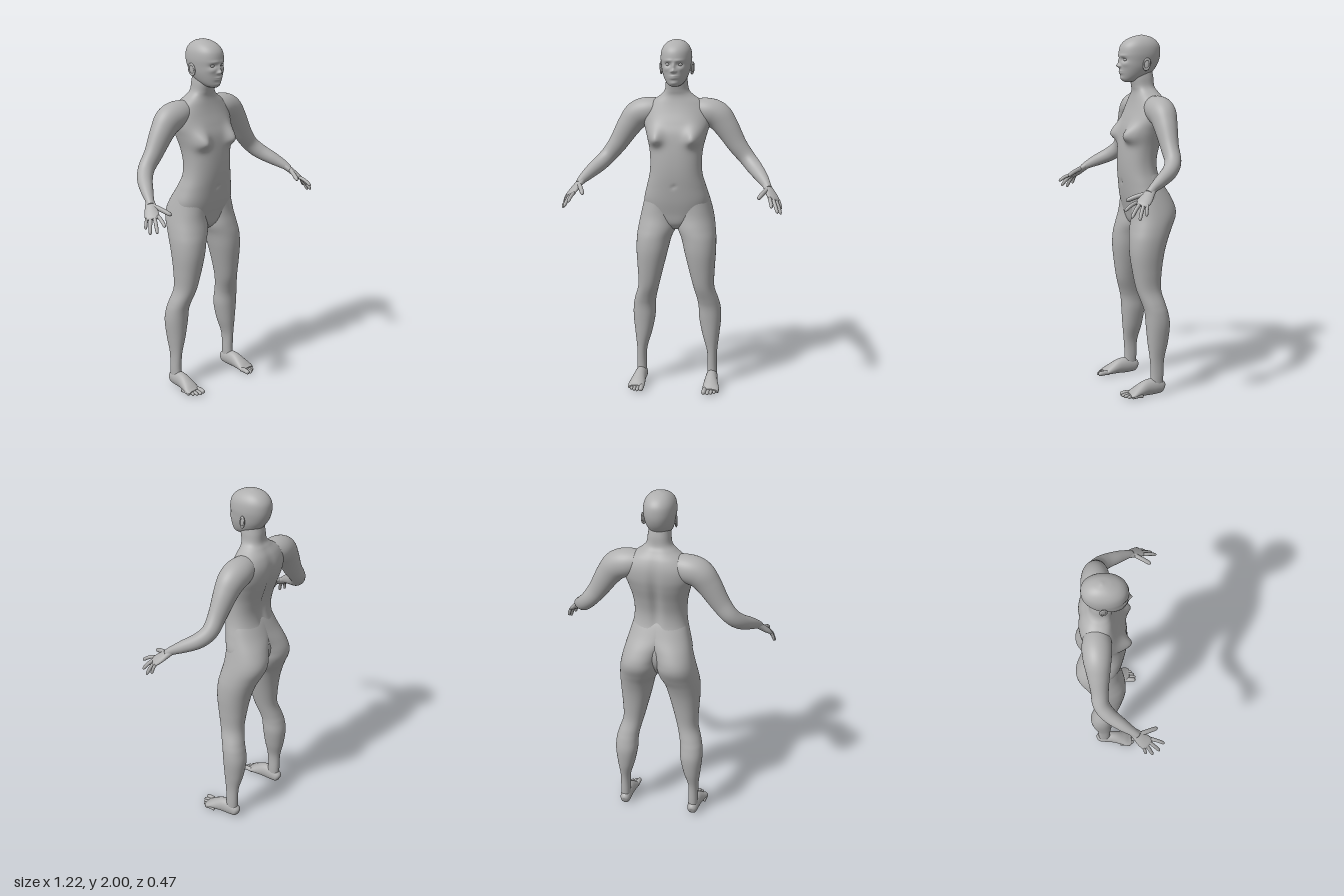
import * as THREE from 'three';

const skin = new THREE.MeshStandardMaterial({ color: 0xb0b0b0 });
skin.name = 'plain grey';

// Smooth interpolation through rows of numbers
function smoothRows(rows, steps) {
  const out = [], last = rows.length - 1;
  for (let i = 0; i < last; i++) {
    const a = rows[Math.max(i - 1, 0)], b = rows[i], c = rows[i + 1], d = rows[Math.min(i + 2, last)];
    for (let s = 0; s < steps; s++) {
      const t = s / steps;
      out.push(b.map((v, k) => v + 0.5 * t * (c[k] - a[k] +
        t * (2 * a[k] - 5 * v + 4 * c[k] - d[k] + t * (3 * (v - c[k]) + d[k] - a[k])))));
    }
  }
  out.push(rows[last]);
  return out;
}

// Closed skin over a list of rings, with both ends capped
function skinRings(rings) {
  const n = rings[0].length;
  const collapse = (ring) => {
    const c = ring.reduce((s, p) => s.add(p), new THREE.Vector3()).divideScalar(n);
    return ring.map(() => c);
  };
  const all = [collapse(rings[0]), ...rings, collapse(rings[rings.length - 1])];
  const pos = [], index = [];
  all.forEach((ring, i) => ring.forEach((p, j) => {
    pos.push(p.x, p.y, p.z);
    if (i === all.length - 1) return;
    const a = i * n + j, b = i * n + (j + 1) % n;
    index.push(a, a + n, b, b, a + n, b + n);
  }));
  const g = new THREE.BufferGeometry();
  g.setAttribute('position', new THREE.Float32BufferAttribute(pos, 3));
  g.setIndex(index);
  g.computeVertexNormals();
  return g;
}

// Level sections: rows of [y, xMin, xMax, zBack, zFront]; shape moves single points
function levelLoft(rows, { power = 2, segs = 48, steps = 6, shape = () => {} } = {}) {
  const bend = (v) => Math.sign(v) * Math.abs(v) ** (2 / power);
  return skinRings(smoothRows(rows, steps).map(([y, x0, x1, z0, z1]) =>
    Array.from({ length: segs }, (_, j) => {
      const a = j / segs * Math.PI * 2;
      const p = new THREE.Vector3((x0 + x1) / 2 + (x1 - x0) / 2 * bend(Math.cos(a)), y,
        (z0 + z1) / 2 + (z1 - z0) / 2 * bend(Math.sin(a)));
      shape(p, Math.sin(a));
      return p;
    })));
}

// Sections along a path: rows of [x, y, z, radius along wide, other radius]
function sweep(rows, wide, segs = 28, steps = 6) {
  const r = smoothRows(rows, steps), at = (i) => new THREE.Vector3(...r[i].slice(0, 3));
  return skinRings(r.map((row, i) => {
    const t = at(Math.min(i + 1, r.length - 1)).sub(at(Math.max(i - 1, 0))).normalize();
    const u = wide.clone().addScaledVector(t, -wide.dot(t)).normalize();
    const v = u.clone().cross(t);
    return Array.from({ length: segs }, (_, j) => {
      const a = j / segs * Math.PI * 2;
      return at(i).addScaledVector(u, row[3] * Math.cos(a)).addScaledVector(v, row[4] * Math.sin(a));
    });
  }));
}

// Finger or toe: a slightly arched, round-ended tube
function digit(a, b, r, arch, wide) {
  const rows = [[0, 1], [0.3, 1], [0.6, 0.98], [0.85, 0.92], [0.95, 0.7], [1, 0.25]].map(([t, k]) => {
    const p = a.map((v, i) => v + (b[i] - v) * t);
    p[1] += arch * Math.sin(t * Math.PI);
    return [...p, r * k, r * k];
  });
  return sweep(rows, wide, 12, 3);
}

function mirrored(g) {
  const m = g.clone().scale(-1, 1, 1), idx = m.index.array;
  for (let i = 0; i < idx.length; i += 3) [idx[i], idx[i + 1]] = [idx[i + 1], idx[i]];
  m.computeVertexNormals();
  return m;
}

const bump = (x, y, cx, cy, sx, sy) => Math.exp(-(((x - cx) / sx) ** 2) - ((y - cy) / sy) ** 2);
const even = (rows) => rows.map(([y, w, b, f]) => [y, -w, w, b, f]);

export function createModel() {
  const model = new THREE.Group();
  model.name = 'standingFigure';
  const add = (name, g) => {
    const m = new THREE.Mesh(g, skin);
    m.name = name;
    model.add(m);
  };
  const addPair = (name, g) => {
    add('left' + name, g);
    add('right' + name, mirrored(g));
  };

  // Torso and neck, with chest forms and the groove of the spine
  add('torso', levelLoft(even([
    [0.935, 0.03, -0.11, -0.03], [0.97, 0.09, -0.15, 0], [1.03, 0.165, -0.185, 0.014], [1.1, 0.185, -0.195, 0.03],
    [1.18, 0.168, -0.175, 0.042], [1.25, 0.15, -0.152, 0.05], [1.32, 0.145, -0.148, 0.052],
    [1.4, 0.152, -0.165, 0.048], [1.48, 0.172, -0.19, 0.038], [1.54, 0.188, -0.203, 0.018],
    [1.6, 0.185, -0.203, -0.005], [1.65, 0.15, -0.188, -0.02], [1.69, 0.095, -0.162, -0.027],
    [1.72, 0.068, -0.145, -0.022], [1.77, 0.06, -0.14, -0.012], [1.82, 0.052, -0.13, -0.02],
  ]), {
    power: 2.3, segs: 96, steps: 8, shape: (p, s) => {
      const x = Math.abs(p.x);
      if (s > 0) {
        p.z += 0.048 * bump(x, p.y, 0.108, 1.452, 0.042, p.y < 1.452 ? 0.036 : 0.06) * Math.min(1, s * 2);
        p.z -= 0.006 * bump(x, p.y, 0, 1.19, 0.012, 0.012);
      } else {
        p.z += 0.016 * bump(x, p.y, 0, 1.4, 0.028, 0.2) * -s;
      }
    },
  }));

  // Legs rise through the hips and meet at the middle
  addPair('Leg', levelLoft([
    [0.04, 0.18, 0.235, -0.125, -0.045], [0.1, 0.18, 0.236, -0.127, -0.055], [0.2, 0.178, 0.236, -0.132, -0.05],
    [0.3, 0.15, 0.247, -0.156, -0.04], [0.4, 0.13, 0.257, -0.168, -0.033], [0.47, 0.127, 0.254, -0.158, -0.027],
    [0.52, 0.12, 0.243, -0.145, -0.014], [0.6, 0.1, 0.22, -0.128, 0.012], [0.7, 0.075, 0.222, -0.135, 0.03],
    [0.8, 0.05, 0.228, -0.152, 0.042], [0.88, 0.03, 0.228, -0.177, 0.04], [0.94, 0.004, 0.222, -0.205, 0.03],
    [1, -0.004, 0.212, -0.232, 0.017], [1.05, -0.008, 0.201, -0.234, 0.012], [1.11, -0.035, 0.186, -0.213, 0.012],
    [1.18, -0.1, 0.167, -0.179, 0.02], [1.25, -0.135, 0.146, -0.148, 0.02], [1.3, -0.1, 0.12, -0.12, 0],
  ], { power: 2.15, segs: 56 }));

  // Feet and toes
  const side = new THREE.Vector3(1, 0, 0);
  addPair('Foot', sweep([
    [0.207, 0.034, -0.134, 0.014, 0.018], [0.207, 0.038, -0.122, 0.027, 0.034], [0.208, 0.046, -0.085, 0.033, 0.045],
    [0.21, 0.045, -0.03, 0.036, 0.045], [0.214, 0.031, 0.025, 0.044, 0.031], [0.217, 0.02, 0.06, 0.048, 0.019],
    [0.217, 0.016, 0.08, 0.04, 0.012],
  ], side));
  [[0.181, 0.121, 0.014], [0.203, 0.122, 0.0105], [0.222, 0.112, 0.01], [0.24, 0.098, 0.0095], [0.257, 0.077, 0.009]]
    .forEach(([x, z, r], i) =>
      addPair('Toe' + (i + 1), digit([x * 0.9 + 0.021, r + 0.003, z - 0.065], [x, r, z], r, 0.004, side)));

  // Arms, from inside the shoulder to the wrist
  addPair('Arm', sweep([
    [0.08, 1.615, -0.107, 0.06, 0.055], [0.16, 1.6, -0.11, 0.077, 0.076], [0.225, 1.576, -0.11, 0.074, 0.079],
    [0.275, 1.518, -0.107, 0.063, 0.069], [0.34, 1.415, -0.103, 0.048, 0.054], [0.395, 1.345, -0.098, 0.044, 0.046],
    [0.44, 1.297, -0.06, 0.041, 0.043], [0.485, 1.256, 0.01, 0.033, 0.035], [0.515, 1.225, 0.065, 0.023, 0.025],
    [0.53, 1.204, 0.09, 0.022, 0.019],
  ], new THREE.Vector3(0, 0, 1), 40, 8));

  // Hands: palm, four fingers and thumb
  const across = new THREE.Vector3(0.05, -0.015, -0.045).normalize();
  addPair('Palm', sweep([
    [0.512, 1.228, 0.06, 0.021, 0.018], [0.53, 1.202, 0.09, 0.029, 0.018], [0.549, 1.177, 0.118, 0.037, 0.016],
    [0.564, 1.157, 0.143, 0.038, 0.012], [0.569, 1.149, 0.151, 0.03, 0.007],
  ], across));
  [[[0.541, 1.164, 0.162], [0.557, 1.125, 0.235]], [[0.556, 1.16, 0.15], [0.588, 1.092, 0.21]],
    [[0.571, 1.155, 0.137], [0.604, 1.08, 0.172]], [[0.584, 1.152, 0.122], [0.604, 1.1, 0.135]]]
    .forEach(([a, b], i) => addPair('Finger' + (i + 1), digit(a, b, i === 3 ? 0.0085 : 0.0098, 0.007, across)));
  addPair('Thumb', digit([0.528, 1.205, 0.095], [0.482, 1.165, 0.2], 0.0125, 0.004, across));

  // Head, with brow, nose, lips and chin raised from the front
  add('head', levelLoft(even([
    [1.745, 0.018, -0.03, 0.026], [1.755, 0.038, -0.06, 0.038], [1.78, 0.058, -0.115, 0.046],
    [1.82, 0.074, -0.152, 0.052], [1.86, 0.082, -0.173, 0.053], [1.9, 0.086, -0.181, 0.054],
    [1.94, 0.081, -0.177, 0.045], [1.97, 0.065, -0.156, 0.018], [1.99, 0.04, -0.122, -0.025],
    [2, 0.006, -0.08, -0.07],
  ]), {
    power: 2.15, segs: 112, steps: 12, shape: (p, s) => {
      if (s <= 0) return;
      const x = Math.abs(p.x), y = p.y;
      p.z += 0.018 * bump(x, y, 0, 1.833, 0.011, 0.011) + 0.01 * bump(x, y, 0, 1.856, 0.008, 0.02)
        + 0.006 * bump(x, y, 0.012, 1.83, 0.006, 0.006) - 0.011 * bump(x, y, 0.033, 1.867, 0.017, 0.011)
        + 0.004 * bump(x, y, 0.028, 1.888, 0.025, 0.008) + 0.005 * bump(x, y, 0.045, 1.842, 0.018, 0.014)
        + 0.01 * bump(x, y, 0, 1.798, 0.022, 0.01) - 0.006 * bump(x, y, 0, 1.798, 0.02, 0.0028)
        + 0.005 * bump(x, y, 0, 1.765, 0.02, 0.01);
    },
  }));

  // Eyes and ears
  addPair('Eye', new THREE.SphereGeometry(0.0125, 20, 14).scale(1.1, 0.75, 0.9).translate(0.033, 1.867, 0.031));
  const placeEar = (g) => g.rotateX(-0.2).rotateY(-0.35).translate(0.088, 1.842, -0.072);
  addPair('EarRim', placeEar(new THREE.TorusGeometry(0.0165, 0.0048, 10, 28).rotateY(Math.PI / 2).scale(1, 1.7, 1)));
  addPair('EarBowl', placeEar(new THREE.SphereGeometry(0.016, 18, 14).scale(0.3, 1.7, 1)));

  return model;
}
